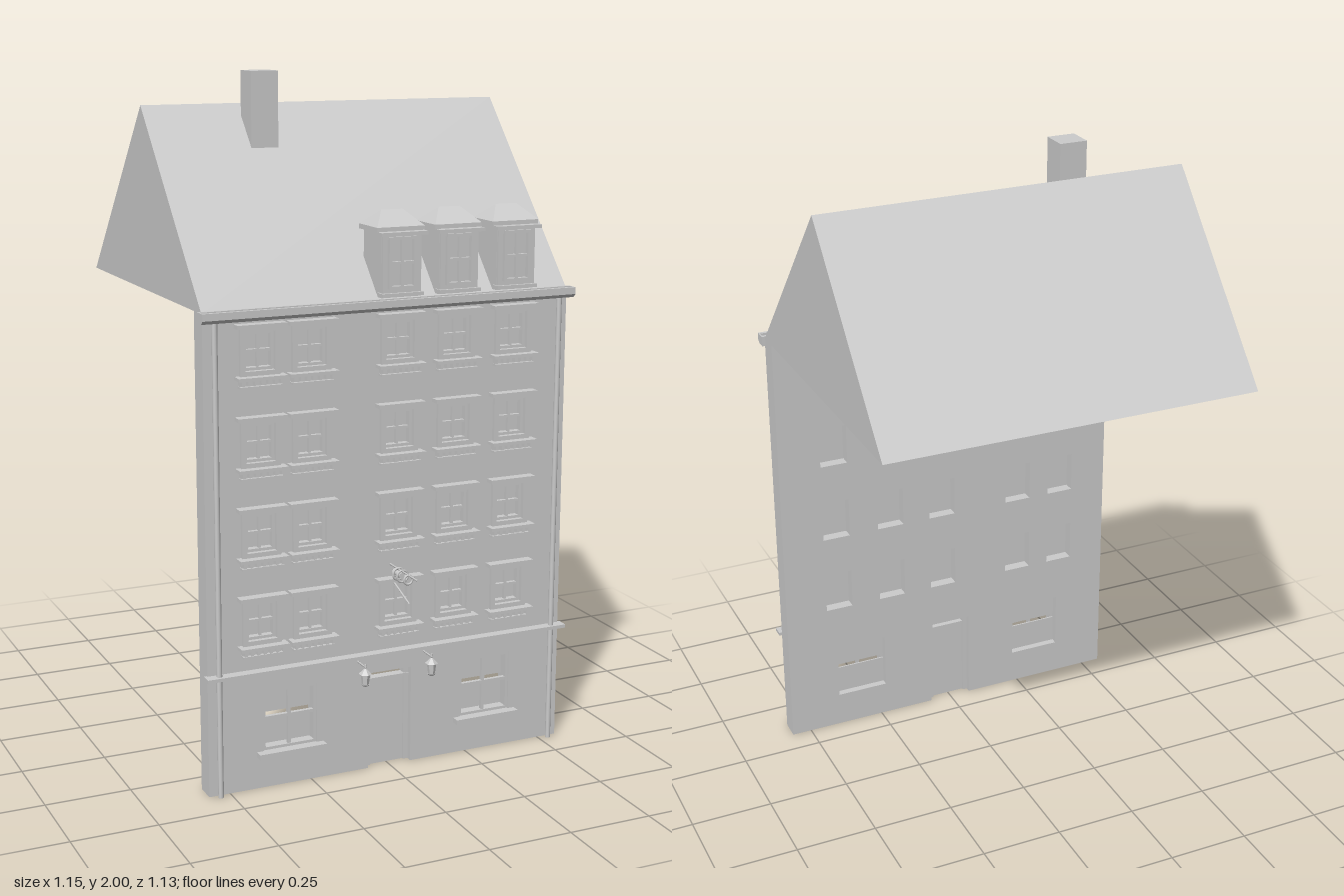
import * as THREE from 'three';

const stone = new THREE.MeshStandardMaterial({ color: 0xcccccc });
stone.name = 'plain grey';

const WALL_BACK = 0.328, WALL_FRONT = 0.39;
const COLUMNS = [-0.401, -0.248, 0.021, 0.2, 0.383];
const ROWS = [0.402, 0.658, 0.914, 1.17];

function add(parent, name, geometry, x = 0, y = 0, z = 0) {
  const mesh = new THREE.Mesh(geometry, stone);
  mesh.name = name;
  mesh.position.set(x, y, z);
  parent.add(mesh);
  return mesh;
}

// Box given by its limits on each axis
function block(parent, name, x0, x1, y0, y1, z0, z1) {
  return add(parent, name, new THREE.BoxGeometry(x1 - x0, y1 - y0, z1 - z0),
    (x0 + x1) / 2, (y0 + y1) / 2, (z0 + z1) / 2);
}

function group(parent, name) {
  const g = new THREE.Group();
  g.name = name;
  parent.add(g);
  return g;
}

function rectPath(x0, x1, y0, y1, Type = THREE.Path) {
  return new Type([[x0, y0], [x1, y0], [x1, y1], [x0, y1]].map(p => new THREE.Vector2(...p)));
}

// Rectangular frame with a hole, extruded from z0 to z1
function frame(parent, name, x, w, y0, y1, t, z0, z1) {
  const s = rectPath(x - w / 2, x + w / 2, y0, y1, THREE.Shape);
  s.holes.push(rectPath(x - w / 2 + t, x + w / 2 - t, y0 + t, y1 - t));
  return add(parent, name, new THREE.ExtrudeGeometry(s, { depth: z1 - z0, bevelEnabled: false }), 0, 0, z0);
}

// Profile in (z, y), extruded along x
function alongX(parent, name, points, x0, x1) {
  const s = new THREE.Shape(points.map(([z, y]) => new THREE.Vector2(-z, y)));
  const g = new THREE.ExtrudeGeometry(s, { depth: x1 - x0, bevelEnabled: false });
  g.rotateY(Math.PI / 2);
  return add(parent, name, g, x0, 0, 0);
}

function rod(parent, name, a, b, r) {
  const path = new THREE.LineCurve3(new THREE.Vector3(...a), new THREE.Vector3(...b));
  return add(parent, name, new THREE.TubeGeometry(path, 1, r, 6, false));
}

// Crossed glazing bars
function bars(parent, x, w, y0, y1, z, t = 0.007) {
  const my = (y0 + y1) / 2;
  block(parent, 'mullion', x - t / 2, x + t / 2, y0, y1, z, z + 0.012);
  block(parent, 'transom', x - w / 2, x + w / 2, my - t / 2, my + t / 2, z, z + 0.012);
}

function upperWindow(parent, x, b) {
  const g = group(parent, 'window');
  block(g, 'pane', x - 0.046, x + 0.046, b + 0.03, b + 0.168, 0.362, 0.368);
  frame(g, 'surround', x, 0.116, b + 0.032, b + 0.168, 0.014, 0.375, 0.402);
  frame(g, 'sash', x, 0.088, b + 0.046, b + 0.154, 0.008, 0.368, 0.388);
  bars(g, x, 0.08, b + 0.046, b + 0.154, 0.372);
  block(g, 'lintel', x - 0.072, x + 0.072, b + 0.166, b + 0.177, 0.388, 0.42);
  // Sill on small corbels with an apron behind
  block(g, 'sill', x - 0.072, x + 0.072, b + 0.024, b + 0.033, 0.388, 0.426);
  block(g, 'apron', x - 0.06, x + 0.06, b, b + 0.024, 0.388, 0.402);
  for (let i = -3; i <= 3; i++) {
    const cx = x + i * 0.019;
    block(g, 'corbel', cx - 0.004, cx + 0.004, b + 0.01, b + 0.024, 0.388, 0.42);
  }
  block(g, 'apronRail', x - 0.062, x + 0.062, b, b + 0.006, 0.388, 0.412);
}

function shopWindow(parent, x) {
  const g = group(parent, 'shopWindow');
  block(g, 'lowerPane', x - 0.082, x + 0.082, 0.11, 0.2, 0.35, 0.355);
  block(g, 'upperPane', x - 0.082, x + 0.082, 0.213, 0.29, 0.35, 0.355);
  frame(g, 'shopFrame', x, 0.165, 0.11, 0.29, 0.008, 0.355, 0.385);
  bars(g, x, 0.15, 0.118, 0.292, 0.37, 0.009);
  block(g, 'shopSill', x - 0.103, x + 0.103, 0.095, 0.11, 0.38, 0.415);
}

function dormer(parent, x) {
  const g = group(parent, 'dormer');
  block(g, 'dormerBody', x - 0.06, x + 0.06, 1.39, 1.585, 0.285, 0.4);
  block(g, 'dormerEaves', x - 0.073, x + 0.073, 1.572, 1.586, 0.28, 0.4);
  // Hipped roof: a box whose top is pinched to a short ridge
  const roof = new THREE.BoxGeometry(0.146, 0.042, 0.12).toNonIndexed();
  const p = roof.attributes.position;
  for (let i = 0; i < p.count; i++) {
    if (p.getY(i) > 0) p.setXYZ(i, Math.sign(p.getX(i)) * 0.033, p.getY(i), 0);
  }
  roof.computeVertexNormals();
  add(g, 'dormerRoof', roof, x, 1.607, 0.34);
  frame(g, 'dormerSurround', x, 0.118, 1.402, 1.566, 0.014, 0.398, 0.408);
  frame(g, 'dormerSash', x, 0.084, 1.415, 1.56, 0.008, 0.4, 0.415);
  bars(g, x, 0.07, 1.42, 1.555, 0.4);
  block(g, 'dormerLintel', x - 0.071, x + 0.071, 1.564, 1.574, 0.398, 0.425);
  block(g, 'dormerSill', x - 0.064, x + 0.064, 1.394, 1.404, 0.385, 0.418);
}

function lantern(parent, x) {
  const g = group(parent, 'lantern');
  const z = 0.449;
  const hex = (name, top, bottom, h, y) => {
    const geo = new THREE.CylinderGeometry(top, bottom, h, 6).toNonIndexed();
    geo.computeVertexNormals();
    add(g, name, geo, x, y, z);
  };
  hex('lanternBody', 0.014, 0.01, 0.032, 0.302);
  hex('lanternBase', 0.012, 0.008, 0.005, 0.284);
  hex('lanternRoof', 0.003, 0.019, 0.016, 0.326);
  hex('lanternFinial', 0.003, 0.003, 0.014, 0.339);
  rod(g, 'lanternBracket', [x, 0.338, 0.388], [x, 0.338, 0.456], 0.003);
}

export function createModel() {
  const house = new THREE.Group();
  house.name = 'townHouse';

  // Facade wall with door notch and window openings
  const outline = [[-0.563, 0], [-0.069, 0], [-0.069, 0.294], [0.069, 0.294], [0.069, 0],
    [0.562, 0], [0.562, 1.382], [-0.563, 1.382]];
  const wall = new THREE.Shape(outline.map(p => new THREE.Vector2(...p)));
  for (const x of COLUMNS) for (const b of ROWS) {
    wall.holes.push(rectPath(x - 0.044, x + 0.044, b + 0.035, b + 0.163));
  }
  for (const x of [-0.314, 0.314]) wall.holes.push(rectPath(x - 0.082, x + 0.082, 0.11, 0.29));
  add(house, 'facadeWall', new THREE.ExtrudeGeometry(wall,
    { depth: WALL_FRONT - WALL_BACK, bevelEnabled: false }), 0, 0, WALL_BACK);

  for (const x of COLUMNS) for (const b of ROWS) upperWindow(house, x, b);
  for (const x of [-0.314, 0.314]) shopWindow(house, x);

  // Main roof and chimney
  alongX(house, 'roof', [[0.387, 1.38], [-0.563, 1.38], [-0.09, 1.905]].reverse(), -0.563, 0.562);
  block(house, 'chimney', -0.27, -0.187, 1.75, 2, -0.06, 0.021);
  for (const x of COLUMNS.slice(2)) dormer(house, x);

  // Gutter trough with end caps, and its drainpipes
  alongX(house, 'gutter', [[0.385, 1.356], [0.414, 1.356], [0.424, 1.366], [0.424, 1.386], [0.413, 1.386],
    [0.413, 1.37], [0.396, 1.37], [0.396, 1.386], [0.385, 1.386]].reverse(), -0.574, 0.572);
  for (const x of [-0.574, 0.568]) block(house, 'gutterEnd', x, x + 0.004, 1.366, 1.386, 0.39, 0.42);
  for (const x of [-0.533, 0.53]) {
    add(house, 'drainpipe', new THREE.CylinderGeometry(0.008, 0.008, 1.36, 10), x, 0.68, 0.404);
  }

  // Belt course and shop fascia
  block(house, 'beltCourse', -0.572, 0.572, 0.35, 0.36, 0.385, 0.42);
  block(house, 'fascia', -0.525, 0.525, 0.296, 0.35, 0.388, 0.398);

  // Door with an open fanlight above
  const door = group(house, 'entrance');
  block(door, 'door', -0.066, 0.066, 0, 0.266, 0.352, 0.366);
  block(door, 'doorTransom', -0.069, 0.069, 0.262, 0.27, 0.348, 0.375);
  for (const s of [-1, 1]) {
    block(door, 'doorJamb', s * 0.0615 - 0.0075, s * 0.0615 + 0.0075, 0, 0.294, 0.345, 0.372);
  }

  for (const x of [-0.106, 0.106]) lantern(house, x);

  // Ornamental hanging bracket over the door
  const sign = group(house, 'hangingBracket');
  rod(sign, 'bracketArm', [0, 0.615, 0.388], [0, 0.615, 0.563], 0.003);
  rod(sign, 'bracketStrut', [0, 0.577, 0.388], [0, 0.532, 0.513], 0.003);
  for (const [z, r] of [[0.505, 0.016], [0.468, 0.02], [0.443, 0.02], [0.428, 0.014]]) {
    add(sign, 'bracketRing', new THREE.TorusGeometry(r - 0.003, 0.0035, 6, 20), 0, 0.601, z);
  }
  add(sign, 'bracketHub', new THREE.CylinderGeometry(0.009, 0.009, 0.03, 10), 0, 0.601, 0.45)
    .rotation.x = Math.PI / 2;
  return house;
}
